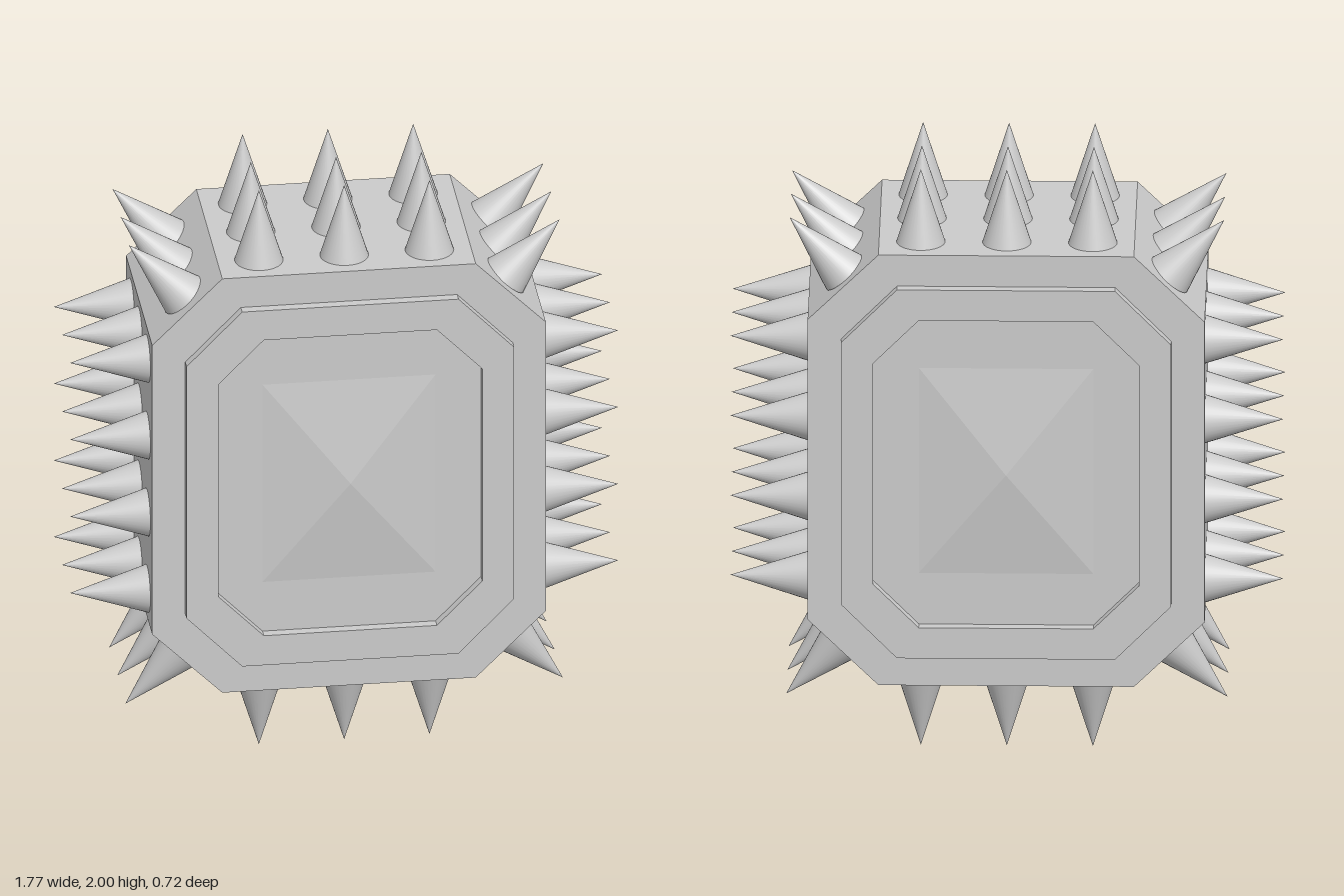
import * as THREE from 'three';

const CY = 1.005; // height of the body's centre
const material = new THREE.MeshStandardMaterial({ color: 0xcccccc });
const flat = new THREE.MeshStandardMaterial({ color: 0xcccccc, flatShading: true });

// Corners of a rectangle (half sizes w, h) with its corners cut off by cx, cy
function octagon(w, h, cx, cy) {
  return [
    [w, -h + cy], [w, h - cy], [w - cx, h], [-w + cx, h],
    [-w, h - cy], [-w, -h + cy], [-w + cx, -h], [w - cx, -h],
  ].map(([x, y]) => new THREE.Vector2(x, y));
}

function extrude(shape, depth) {
  return new THREE.ExtrudeGeometry(shape, { depth, bevelEnabled: false });
}

export function createModel() {
  const model = new THREE.Group();
  model.name = 'spikedBlock';

  function add(name, geometry, mat, parent = model) {
    const mesh = new THREE.Mesh(geometry, mat);
    mesh.name = name;
    parent.add(mesh);
    return mesh;
  }

  // Octagonal body
  const body = add('body', extrude(new THREE.Shape(octagon(0.637, 0.745, 0.227, 0.225)), 0.64), flat);
  body.position.set(0, CY, -0.32);

  // Raised frame and shallow pyramid on the front and back
  const frameShape = new THREE.Shape(octagon(0.53, 0.638, 0.18, 0.185));
  frameShape.holes.push(new THREE.Path(octagon(0.427, 0.532, 0.147, 0.15)));
  const frameGeometry = extrude(frameShape, 0.043);
  const pyramidGeometry = new THREE.ConeGeometry(Math.SQRT2, 1, 4, 1, true)
    .rotateY(Math.PI / 4).translate(0, 0.5, 0).rotateX(Math.PI / 2).scale(0.28, 0.355, 0.04);
  for (const [side, turn] of [['front', 0], ['back', Math.PI]]) {
    const panel = new THREE.Group();
    panel.name = side + 'Panel';
    panel.position.y = CY;
    panel.rotation.y = turn;
    add(side + 'Frame', frameGeometry, flat, panel).position.z = 0.31;
    add(side + 'Pyramid', pyramidGeometry, flat, panel).position.z = 0.32;
    model.add(panel);
  }

  // Each spike is given by its base centre and tip; rows of three run along z
  const spikes = new THREE.Group();
  spikes.name = 'spikes';
  model.add(spikes);
  const up = new THREE.Vector3(0, 1, 0);
  const unitSpike = new THREE.ConeGeometry(0.079, 1, 32).translate(0, 0.5, 0);
  function spikeRow(name, bx, by, tx, ty) {
    const dir = new THREE.Vector3(tx - bx, ty - by, 0);
    const length = dir.length();
    dir.normalize();
    for (const z of [-0.2, 0, 0.2]) {
      const spike = add(name, unitSpike, material, spikes);
      spike.position.set(bx, by, z);
      spike.scale.y = length;
      spike.quaternion.setFromUnitVectors(up, dir);
    }
  }

  for (const x of [-0.276, 0, 0.276]) {
    spikeRow('topSpike', x, 1.748, x, 2);
    spikeRow('bottomSpike', x, 0.262, x, 0.005);
  }
  for (const s of [-1, 1]) {
    const side = s > 0 ? 'left' : 'right';
    for (const y of [0.59, 0.865, 1.142, 1.418]) {
      spikeRow(side + 'Spike', s * 0.635, y, s * 0.887, y);
    }
    spikeRow(side + 'UpperCornerSpike', s * 0.522, 1.64, s * 0.697, 1.83);
    spikeRow(side + 'LowerCornerSpike', s * 0.522, 0.376, s * 0.708, 0.18);
  }

  return model;
}
